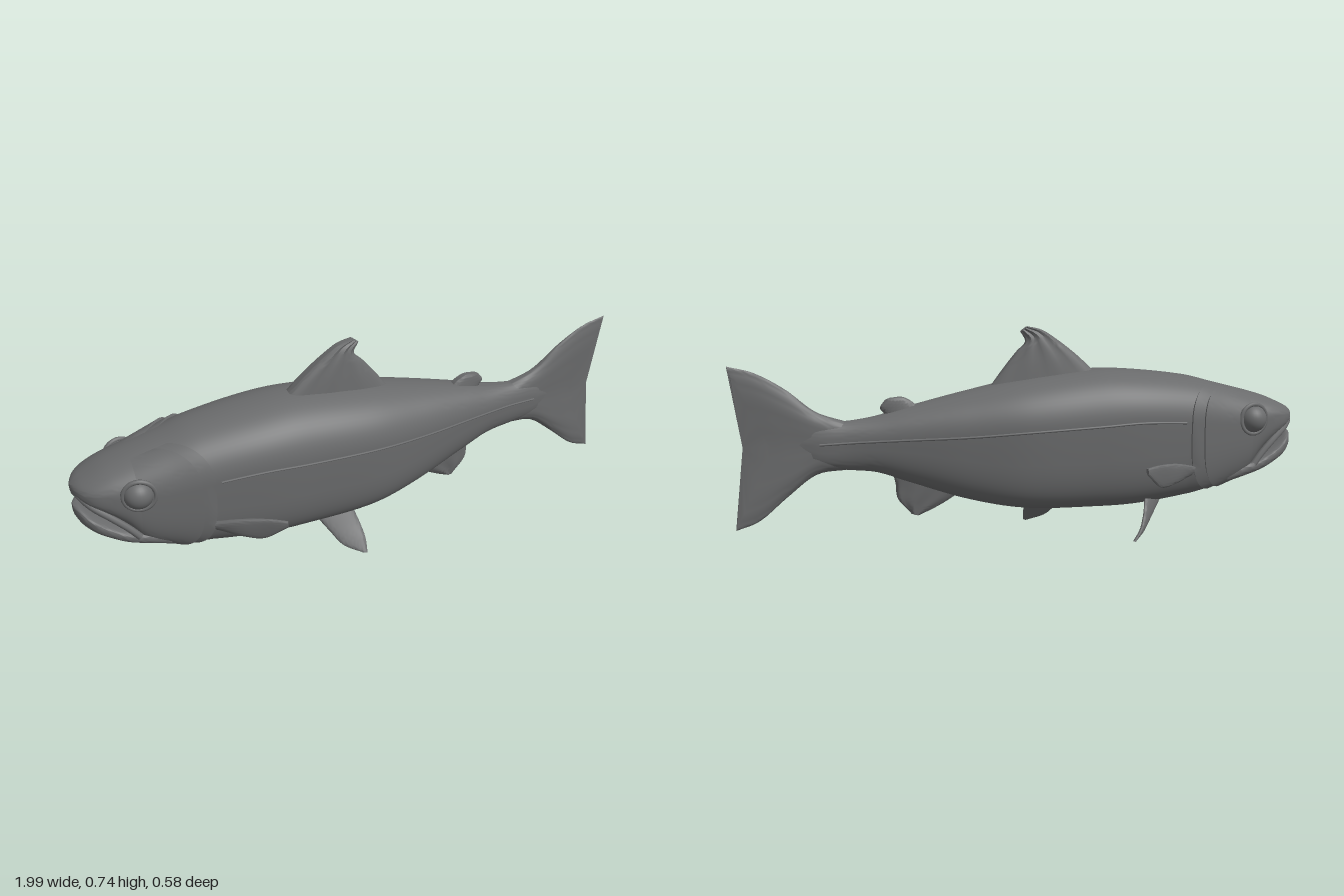
import * as THREE from 'three';
import { toCreasedNormals } from 'three/addons/utils/BufferGeometryUtils.js';

// Body stations: x, top, bottom, height of widest line, half width
const BODY = [
  [-1, 0.425, 0.395, 0.41, 0.02], [-0.985, 0.438, 0.385, 0.412, 0.06], [-0.95, 0.456, 0.362, 0.412, 0.098],
  [-0.9, 0.478, 0.325, 0.41, 0.12], [-0.85, 0.494, 0.275, 0.405, 0.133], [-0.8, 0.508, 0.205, 0.4, 0.142],
  [-0.7, 0.534, 0.167, 0.4, 0.154], [-0.6, 0.56, 0.14, 0.41, 0.165], [-0.4, 0.585, 0.114, 0.42, 0.183],
  [-0.25, 0.59, 0.11, 0.413, 0.186], [0, 0.562, 0.117, 0.4, 0.176], [0.2, 0.522, 0.155, 0.385, 0.138],
  [0.4, 0.475, 0.22, 0.375, 0.09], [0.5, 0.448, 0.255, 0.37, 0.066], [0.6, 0.434, 0.267, 0.365, 0.045],
  [0.7, 0.43, 0.28, 0.36, 0.033], [0.76, 0.4, 0.31, 0.36, 0.018],
];
const JAW = [
  [-1, 0.348, 0.315, 0.335, 0.02], [-0.985, 0.35, 0.29, 0.328, 0.055], [-0.95, 0.325, 0.262, 0.305, 0.09],
  [-0.9, 0.297, 0.236, 0.275, 0.11], [-0.85, 0.275, 0.216, 0.25, 0.122], [-0.72, 0.25, 0.177, 0.22, 0.135],
];

// Smooth interpolation through the stations
function station(table, x) {
  const last = table.length - 1;
  let i = 0;
  while (i < last - 1 && x > table[i + 1][0]) i++;
  const a = table[i], b = table[i + 1], p = table[Math.max(i - 1, 0)], n = table[Math.min(i + 2, last)];
  const d = b[0] - a[0], t = THREE.MathUtils.clamp((x - a[0]) / d, 0, 1);
  return a.map((_, k) => {
    const m0 = (b[k] - p[k]) / (b[0] - p[0]) * d, m1 = (n[k] - a[k]) / (n[0] - a[0]) * d;
    const t2 = t * t, t3 = t2 * t;
    return (2 * t3 - 3 * t2 + 1) * a[k] + (t3 - 2 * t2 + t) * m0 + (3 * t2 - 2 * t3) * b[k] + (t3 - t2) * m1;
  });
}

// Point on a rounded section: flatter below, rounder above
function skin(table, x, angle, out = 0) {
  const [, top, bottom, mid, w] = station(table, x);
  const c = Math.cos(angle), s = Math.sin(angle), lower = s < -1e-6;
  const p = lower ? 0.55 + 0.3 * THREE.MathUtils.smoothstep(x, 0, 0.6) : 0.9;
  const width = (w + out) * (lower && x > -0.58 ? 0.975 : 1);
  const height = (lower ? mid - bottom : top - mid) + out;
  return new THREE.Vector3(x, mid + height * Math.sign(s) * Math.abs(s) ** p,
    width * Math.sign(c) * Math.abs(c) ** p);
}

// Surface from rows of points; closed rows form a capped tube
function loft(rows, closed) {
  const n = rows[0].length, m = rows.length, pos = [], index = [];
  rows.forEach((row) => row.forEach((v) => pos.push(v.x, v.y, v.z)));
  const cols = closed ? n : n - 1;
  for (let i = 0; i < m - 1; i++) for (let j = 0; j < cols; j++) {
    const a = i * n + j, b = i * n + (j + 1) % n;
    index.push(a, a + n, b, b, a + n, b + n);
  }
  if (closed) [0, m - 1].forEach((r, end) => {
    const c = new THREE.Vector3();
    rows[r].forEach((v) => c.addScaledVector(v, 1 / n));
    const k = pos.length / 3;
    pos.push(c.x, c.y, c.z);
    for (let j = 0; j < n; j++) {
      const a = r * n + j, b = r * n + (j + 1) % n;
      if (end) index.push(k, b, a); else index.push(k, a, b);
    }
  });
  const g = new THREE.BufferGeometry();
  g.setAttribute('position', new THREE.Float32BufferAttribute(pos, 3));
  g.setIndex(index);
  return toCreasedNormals(g, 0.75);
}

const range = (n, fn) => Array.from({ length: n }, (_, i) => fn(i));
const vec = (p) => new THREE.Vector3(p[0], p[1], p[2] || 0);
const curve = (pts) => new THREE.CatmullRomCurve3(pts.map(vec));

function bodyLoft(table, count) {
  const x0 = table[0][0], x1 = table[table.length - 1][0];
  return loft(range(count, (i) => {
    const x = x0 + (x1 - x0) * (i / (count - 1)) ** 1.2;
    return range(64, (j) => skin(table, x, j / 64 * Math.PI * 2));
  }), true);
}

// Fin: rails run from root to tip, and a lens section spans across them
function fin(rails, rootThick, tipThick, rays = 0) {
  const curves = rails.map(curve), rows = 20, half = 24;
  const mid = curves.map((c) => c.getPoint(0.5));
  const along = curves[0].getPoint(0.8).sub(curves[0].getPoint(0));
  const normal = along.cross(mid[mid.length - 1].clone().sub(mid[0])).normalize();
  return loft(range(rows, (i) => {
    const v = i / (rows - 1);
    const across = new THREE.CatmullRomCurve3(curves.map((c) => c.getPoint(v)));
    const thick = THREE.MathUtils.lerp(rootThick, tipThick, v);
    return range(half * 2, (j) => {
      const a = j / (half * 2) * Math.PI * 2;
      const t = (1 + Math.sin(a)) / 2;
      const ripple = rays ? 1 + 0.2 * v * Math.cos(t * rays * Math.PI * 2) : 1;
      return across.getPoint(t).addScaledVector(normal, Math.cos(a) * thick * ripple);
    });
  }), true);
}

export function createModel() {
  const group = new THREE.Group();
  const grey = new THREE.MeshStandardMaterial({ color: 0x6a6b6c, side: THREE.DoubleSide });
  grey.name = 'slate grey';
  const add = (name, geometry) => {
    const mesh = new THREE.Mesh(geometry, grey);
    mesh.name = name;
    group.add(mesh);
    return mesh;
  };

  add('body', bodyLoft(BODY, 90));
  add('lowerJaw', bodyLoft(JAW, 24));

  // Upper lip running round the snout
  const lip = [[-0.82, 0.25, 0.127], [-0.85, 0.285, 0.12], [-0.9, 0.332, 0.107], [-0.95, 0.372, 0.084], [-0.98, 0.398, 0.045]];
  const lipPath = [...lip, [-0.988, 0.406, 0], ...lip.map(([x, y, z]) => [x, y, -z]).reverse()];
  add('upperLip', new THREE.TubeGeometry(curve(lipPath), 60, 0.012, 8));

  for (const side of [1, -1]) {
    const name = side > 0 ? 'Front' : 'Back', centre = side > 0 ? 0 : Math.PI;

    // Overlapping gill plates with a lifted rear edge
    const plate = (start, edge, lift) => loft(range(14, (i) => range(41, (j) => {
      const a = (j / 20 - 1) * 1.25;
      const u = Math.min(i / 12, 1);
      const x = start + (edge - 0.075 * a * a - start) * u;
      const fade = 1 - Math.abs(a / 1.25) ** 6;
      return skin(BODY, x, centre + a, i === 13 ? -0.012 : lift * u * fade);
    })), false);
    add('gillRim' + name, plate(-0.76, -0.57, 0.01));
    add('gillCover' + name, plate(-0.81, -0.615, 0.017));

    // Lateral line
    const line = range(24, (i) => skin(BODY, -0.55 + i * 0.054, centre).toArray());
    add('lateralLine' + name, new THREE.TubeGeometry(curve(line), 80, 0.004, 6));

    // Eye with its socket ring
    const eye = add('eye' + name, new THREE.SphereGeometry(0.05, 28, 18));
    eye.position.set(-0.81, 0.413, side * 0.123);
    const ring = add('eyeRing' + name, new THREE.TorusGeometry(0.052, 0.008, 8, 32));
    ring.position.set(-0.81, 0.413, side * 0.137);
    ring.rotation.y = -side * 0.2;

    // Pectoral fin
    const rails = [
      [[-0.59, 0.257, 0.155], [-0.5, 0.281, 0.212], [-0.42, 0.287, 0.257], [-0.372, 0.284, 0.285]],
      [[-0.57, 0.225, 0.155], [-0.5, 0.211, 0.208], [-0.44, 0.206, 0.238], [-0.373, 0.262, 0.287]],
    ];
    add('pectoralFin' + name, fin(rails.map((r) => r.map(([x, y, z]) => [x, y, z * side])), 0.012, 0.005));
  }

  // Pelvic fins, one set further forward than the other
  add('pelvicFinFront', fin([
    [[-0.21, 0.145, 0.09], [-0.165, 0.08, 0.135], [-0.13, 0.035, 0.17], [-0.07, 0.008, 0.205]],
    [[-0.07, 0.15, 0.1], [-0.055, 0.09, 0.145], [-0.05, 0.05, 0.18], [-0.055, 0.008, 0.21]],
  ], 0.013, 0.006));
  add('pelvicFinBack', fin([
    [[-0.49, 0.135, -0.065], [-0.44, 0.078, -0.115], [-0.4, 0.038, -0.16], [-0.36, 0.015, -0.2]],
    [[-0.42, 0.145, -0.125], [-0.405, 0.09, -0.16], [-0.385, 0.05, -0.19], [-0.355, 0.015, -0.212]],
  ], 0.013, 0.005));

  // Fins on the centre line
  add('dorsalFin', fin([
    [[-0.28, 0.565], [-0.2, 0.64], [-0.13, 0.695], [-0.075, 0.73], [-0.025, 0.742]],
    [[0.12, 0.52], [0.06, 0.6], [0.015, 0.655], [-0.017, 0.69], [0, 0.725]],
  ], 0.042, 0.012, 4));
  add('adiposeFin', fin([
    [[0.35, 0.465], [0.375, 0.492], [0.41, 0.51], [0.45, 0.508]],
    [[0.46, 0.44], [0.475, 0.458], [0.486, 0.475], [0.47, 0.5]],
  ], 0.022, 0.01));
  add('analFin', fin([
    [[0.2, 0.185], [0.26, 0.145], [0.31, 0.118], [0.36, 0.096]],
    [[0.45, 0.26], [0.438, 0.21], [0.432, 0.16], [0.385, 0.102]],
  ], 0.03, 0.01, 3));

  // Forked tail
  const upper = [[0.6, 0.432], [0.7, 0.468], [0.8, 0.548], [0.9, 0.605], [0.985, 0.628]];
  const lower = [[0.6, 0.267], [0.7, 0.255], [0.8, 0.182], [0.9, 0.1], [0.975, 0.073]];
  add('tailFin', fin([
    upper,
    [[0.6, 0.41], [0.7, 0.432], [0.8, 0.478], [0.88, 0.515], [0.95, 0.535]],
    [[0.6, 0.355], [0.67, 0.358], [0.74, 0.36], [0.81, 0.36], [0.865, 0.36]],
    [[0.6, 0.3], [0.7, 0.292], [0.8, 0.235], [0.87, 0.2], [0.925, 0.18]],
    lower,
  ], 0.036, 0.009, 9));

  return group;
}
